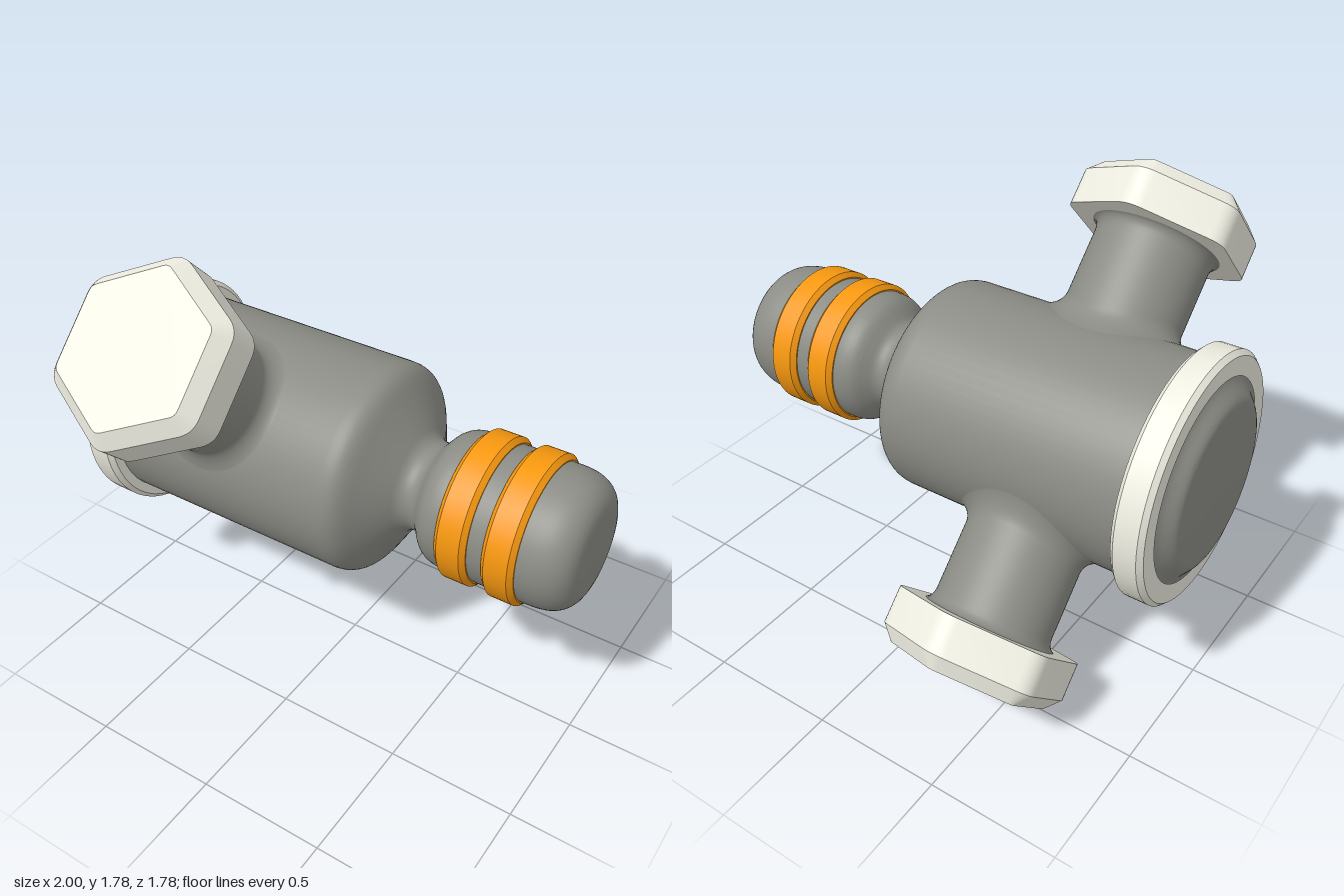
import * as THREE from 'three';
import { mergeVertices, toCreasedNormals } from 'three/addons/utils/BufferGeometryUtils.js';

const AXIS_Y = 0.886, BODY_R = 0.415;
const grey = new THREE.MeshStandardMaterial({ color: 0x8c8c86 });
const ivory = new THREE.MeshStandardMaterial({ color: 0xefeee2 });
const orange = new THREE.MeshStandardMaterial({ color: 0xf7980f });

function part(name, geometry, material) {
  const mesh = new THREE.Mesh(geometry, material);
  mesh.name = name;
  return mesh;
}

// Turned part along x; profile points are (radius, x)
function turned(name, points, material) {
  const lathe = new THREE.LatheGeometry(points, 72).rotateZ(-Math.PI / 2);
  return part(name, toCreasedNormals(lathe, 0.5), material);
}

// Ring with chamfered edges between x0 and x1
function ring(name, x0, x1, inner, outer, c, material) {
  const pts = [[inner, x0], [outer - c, x0], [outer, x0 + c], [outer, x1 - c], [outer - c, x1], [inner, x1]];
  return turned(name, pts.map(([r, x]) => new THREE.Vector2(r, x)), material);
}

function bodyProfile() {
  const p = new THREE.Path();
  p.moveTo(0, -1);
  p.lineTo(0.29, -1);
  p.bezierCurveTo(0.325, -1, 0.34, -0.965, 0.375, -0.952); // domed end cap
  p.lineTo(0.4, -0.945);
  p.lineTo(BODY_R, -0.9);
  p.lineTo(BODY_R, 0.1);
  p.bezierCurveTo(BODY_R, 0.16, 0.385, 0.18, 0.345, 0.204); // shoulder
  p.lineTo(0.205, 0.285);
  p.bezierCurveTo(0.165, 0.31, 0.165, 0.363, 0.2, 0.385); // waist
  p.lineTo(0.225, 0.405);
  p.quadraticCurveTo(0.264, 0.435, 0.264, 0.49);
  p.lineTo(0.264, 0.85);
  p.bezierCurveTo(0.264, 0.94, 0.225, 1, 0.14, 1); // rounded nose
  p.lineTo(0, 1);
  return p.getPoints(10);
}

// Round neck whose filleted foot follows the curve of the body
function neckGeometry() {
  const r = 0.225, fillet = 0.065, pts = [];
  for (let i = 0; i <= 10; i++) {
    const a = (i / 10) * Math.PI / 2;
    pts.push(new THREE.Vector2(r + fillet * (1 - Math.sin(a)), fillet * (1 - Math.cos(a)) - 0.003));
  }
  pts.push(new THREE.Vector2(r, 0.6), new THREE.Vector2(r, 0.72));
  for (let i = 1; i <= 5; i++) {
    const a = (i / 5) * Math.PI / 2;
    pts.push(new THREE.Vector2(r + 0.035 * (1 - Math.cos(a)), 0.72 + 0.047 * Math.sin(a)));
  }
  let g = new THREE.LatheGeometry(pts, 72);
  const pos = g.attributes.position;
  for (let i = 0; i < pos.count; i++) {
    const y = pos.getY(i), z = pos.getZ(i);
    if (y < 0.2) pos.setY(i, y + Math.sqrt(BODY_R ** 2 - z * z));
  }
  g.deleteAttribute('uv');
  g.deleteAttribute('normal');
  g = mergeVertices(g, 1e-4);
  g.computeVertexNormals();
  return g;
}

// Hexagonal head with rounded corners, chamfered on its outer face only
function headGeometry() {
  const R = 0.361, cut = 0.052 / R, bevel = 0.055, shape = new THREE.Shape();
  const corner = k => new THREE.Vector2(0, R).rotateAround(new THREE.Vector2(), k * Math.PI / 3);
  for (let k = 0; k < 6; k++) {
    const v = corner(k);
    const a = v.clone().lerp(corner(k - 1), cut), b = v.clone().lerp(corner(k + 1), cut);
    if (k === 0) shape.moveTo(a.x, a.y); else shape.lineTo(a.x, a.y);
    shape.quadraticCurveTo(v.x, v.y, b.x, b.y);
  }
  shape.closePath();
  const g = new THREE.ExtrudeGeometry(shape, {
    depth: 0.14, curveSegments: 6, bevelEnabled: true, bevelSegments: 1,
    bevelThickness: bevel, bevelSize: 0.05, bevelOffset: -0.05,
  });
  // Flatten the inner chamfer into the underside
  const pos = g.attributes.position;
  for (let i = 0; i < pos.count; i++) pos.setZ(i, Math.max(0, pos.getZ(i)));
  return toCreasedNormals(g.rotateX(-Math.PI / 2).translate(0, 0.765, 0), 0.5);
}

export function createModel() {
  const model = new THREE.Group();
  model.name = 'valveFitting';

  const barrel = new THREE.Group();
  barrel.name = 'barrel';
  barrel.position.y = AXIS_Y;
  barrel.add(
    turned('body', bodyProfile(), grey),
    ring('endFlange', -0.955, -0.833, 0.38, 0.47, 0.018, ivory),
    ring('innerSealRing', 0.505, 0.63, 0.25, 0.287, 0.018, orange),
    ring('outerSealRing', 0.69, 0.815, 0.25, 0.287, 0.018, orange),
  );
  model.add(barrel);

  // Two opposed side branches on the diagonal
  const neck = neckGeometry(), head = headGeometry();
  ['upperFront', 'lowerBack'].forEach((side, i) => {
    const branch = new THREE.Group();
    branch.name = side + 'Branch';
    branch.position.set(-0.423, AXIS_Y, 0);
    branch.rotation.x = Math.PI / 4 + i * Math.PI;
    branch.add(part(side + 'Neck', neck, grey), part(side + 'HexHead', head, ivory));
    model.add(branch);
  });
  return model;
}
